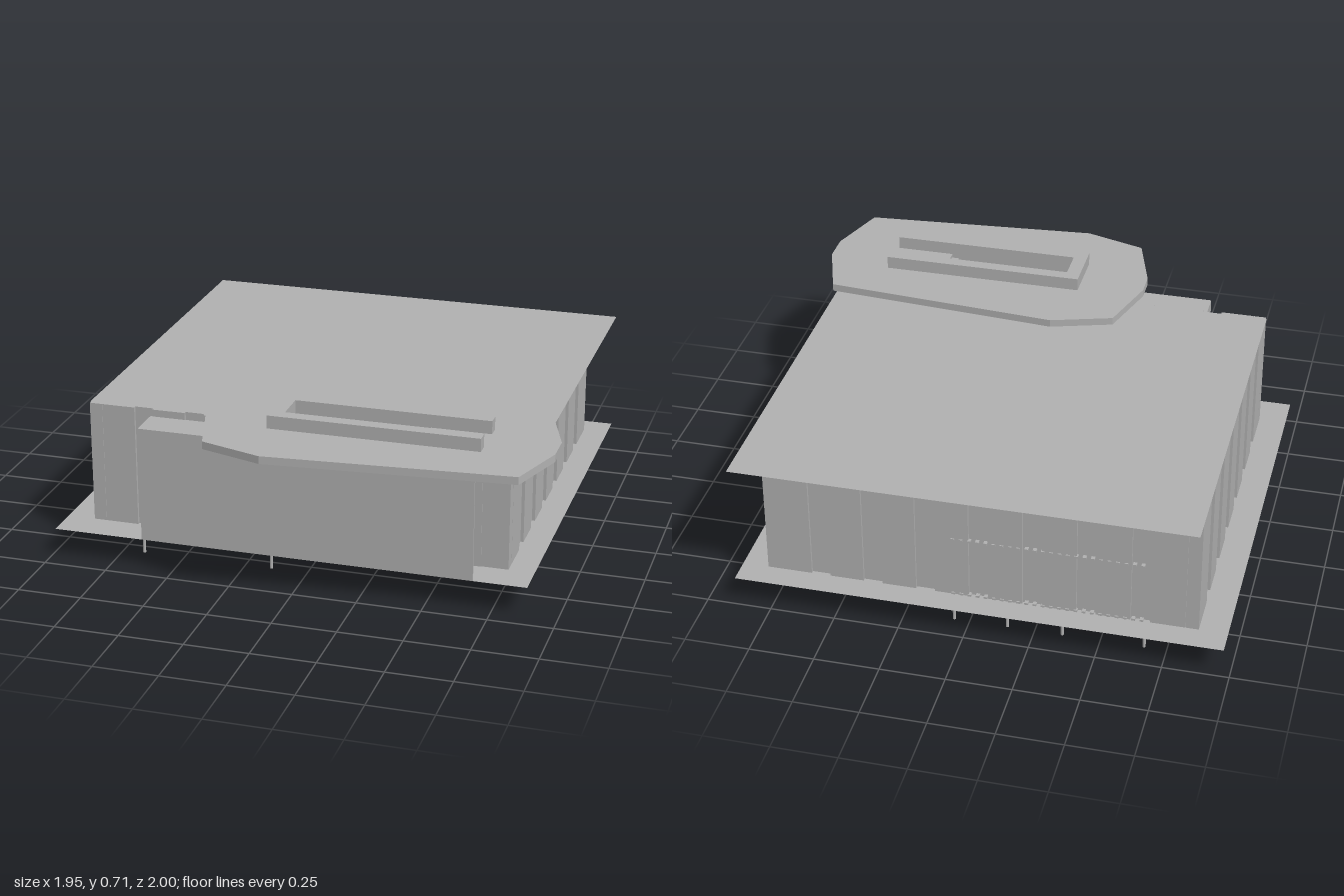
import * as THREE from 'three';

const grey = new THREE.MeshStandardMaterial({ color: 0xb3b3b3, side: THREE.DoubleSide, flatShading: true });
grey.name = 'plainGrey';

export function createModel() {
  const model = new THREE.Group();
  model.name = 'building';

  const group = (name) => {
    const g = new THREE.Group();
    g.name = name;
    model.add(g);
    return g;
  };
  const add = (parent, name, geometry) => {
    const m = new THREE.Mesh(geometry, grey);
    m.name = name;
    parent.add(m);
    return m;
  };
  // Box given by its two limits on each axis
  const box = (parent, name, x0, x1, y0, y1, z0, z1) => {
    const g = new THREE.BoxGeometry(x1 - x0, y1 - y0, z1 - z0);
    return add(parent, name, g.translate((x0 + x1) / 2, (y0 + y1) / 2, (z0 + z1) / 2));
  };
  // Horizontal plate from an x,z outline
  const plate = (parent, name, outline, bottom, top, hole) => {
    const shape = new THREE.Shape(outline.map(([x, z]) => new THREE.Vector2(x, z)));
    if (hole) shape.holes.push(new THREE.Path(hole.map(([x, z]) => new THREE.Vector2(x, z))));
    const g = new THREE.ExtrudeGeometry(shape, { depth: top - bottom, bevelEnabled: false });
    return add(parent, name, g.rotateX(Math.PI / 2).translate(0, top, 0));
  };
  const sheet = (name, x0, x1, y, z0, z1) => {
    const g = new THREE.PlaneGeometry(x1 - x0, z1 - z0).rotateX(-Math.PI / 2);
    return add(model, name, g.translate((x0 + x1) / 2, y, (z0 + z1) / 2));
  };

  const floorY = 0.12, roofY = 0.605;
  const X0 = -0.866, X1 = 0.785, Z0 = -0.9, Z1 = 0.557, rib = 0.012;

  // Thin floor and roof
  sheet('floor', -0.975, 0.885, floorY, -1, 0.69);
  sheet('roof', -0.87, 0.885, roofY, -1, 0.545);

  // Walls of ribbed sheet piling
  const walls = group('walls');
  const t = 0.012, a = rib + t;
  box(walls, 'frontWall', X0 + rib, X1 - rib, floorY, roofY, Z1 - a, Z1 - rib);
  box(walls, 'backWall', X0 + rib, X1 - rib, floorY, roofY, Z0 + rib, Z0 + a);
  box(walls, 'rightWall', X0 + rib, X0 + a, floorY, roofY, Z0 + rib, Z1 - rib);
  box(walls, 'leftWall', X1 - a, X1 - rib, floorY, roofY, Z0 + rib, Z1 - rib);
  for (let i = 0; i < 8; i++) {
    const x = -0.815 + i * 0.204;
    const x1 = Math.min(x + 0.13, X1);
    box(walls, 'frontPile', x, x1, floorY, roofY, Z1 - rib, Z1);
    box(walls, 'backPile', x, x1, floorY, roofY, Z0, Z0 + rib);
  }
  for (let i = 0; i < 7; i++) {
    const z = 0.375 - i * 0.206;
    box(walls, 'leftPile', X1 - rib, X1, floorY, roofY, z, z + 0.13);
    box(walls, 'rightPile', X0, X0 + rib, floorY, roofY, z, z + 0.13);
  }
  // Corner posts
  for (const x of [X0, X1 - 0.05])
    for (const z of [Z0, Z1 - 0.05])
      box(walls, 'cornerPost', x, x + 0.05, floorY, roofY, z, z + 0.05);

  // Rows of small anchors on the back wall
  const anchors = group('backAnchors');
  for (const y of [0.125, 0.37])
    for (let i = 0; i < 24; i++) {
      const x = 0.06 - i * 0.031;
      box(anchors, 'anchor', x - 0.007, x + 0.007, y - 0.004, y + 0.004, Z0 - 0.005, Z0 + rib);
    }

  // Passage and stairwell along the front
  const passage = group('stairPassage');
  box(passage, 'passageFront', -0.62, 0.68, floorY, 0.577, 0.682, 0.69);
  box(passage, 'stairwellFront', -0.04, 0.68, 0.577, 0.61, 0.682, 0.69);
  box(passage, 'stairwellBack', -0.04, 0.68, floorY, 0.61, 0.555, 0.56);
  box(passage, 'passageEnd', -0.62, -0.612, floorY, 0.577, 0.555, 0.69);
  box(passage, 'passageLid', -0.62, -0.04, 0.569, 0.577, 0.555, 0.69);

  // Stairs climbing toward the open end of the parapet
  const stairs = group('stairs');
  const steps = 18, run = 0.52 / steps, rise = (0.64 - floorY) / steps;
  for (let i = 0; i < steps; i++) {
    const x = -0.04 + i * run, y = floorY + (i + 1) * rise;
    box(stairs, 'step', x, x + run, Math.max(floorY, y - 0.042), y, 0.56, 0.682);
  }

  // Upper deck with the stair opening
  const half = [[-0.355, 0.575], [-0.28, 0.325], [-0.04, 0.25], [0.89, 0.325], [0.97, 0.565]];
  const mid = 0.623;
  const outline = [...half, ...half.map(([x, z]) => [x, 2 * mid - z]).reverse()];
  plate(model, 'upperDeck', outline, 0.625, 0.655,
    [[-0.04, 0.558], [0.48, 0.558], [0.48, 0.685], [-0.04, 0.685]]);

  // Sloping skirt between the stairwell and the deck
  const ring = (x0, x1, y, z0, z1) => [[x0, y, z0], [x1, y, z0], [x1, y, z1], [x0, y, z1]];
  const low = ring(-0.03, 0.68, 0.608, 0.555, 0.69), high = ring(-0.09, 0.71, 0.625, 0.33, 0.74);
  const points = [];
  for (let i = 0; i < 4; i++) {
    const j = (i + 1) % 4;
    points.push(...low[i], ...low[j], ...high[j], ...low[i], ...high[j], ...high[i]);
  }
  const skirt = new THREE.BufferGeometry();
  skirt.setAttribute('position', new THREE.Float32BufferAttribute(points, 3));
  skirt.computeVertexNormals();
  add(model, 'deckSkirt', skirt);

  // U-shaped parapet around the opening
  plate(model, 'parapet', [
    [-0.095, 0.51], [0.71, 0.51], [0.71, 0.558], [-0.04, 0.558],
    [-0.04, 0.685], [0.71, 0.685], [0.71, 0.735], [-0.095, 0.735],
  ], 0.655, 0.706);

  // Foundation piles: x of each row, first and last place along z
  const piles = group('foundationPiles');
  for (const [x, first, last] of [[0.06, 0, 1], [-0.145, 0, 1], [-0.145, 5, 7], [-0.355, 0, 5], [-0.665, 0, 7]])
    for (let k = first; k <= last; k++)
      add(piles, 'pile', new THREE.CylinderGeometry(0.006, 0.006, floorY, 10))
        .position.set(x, floorY / 2, -0.895 + k * 0.2065);

  return model;
}
